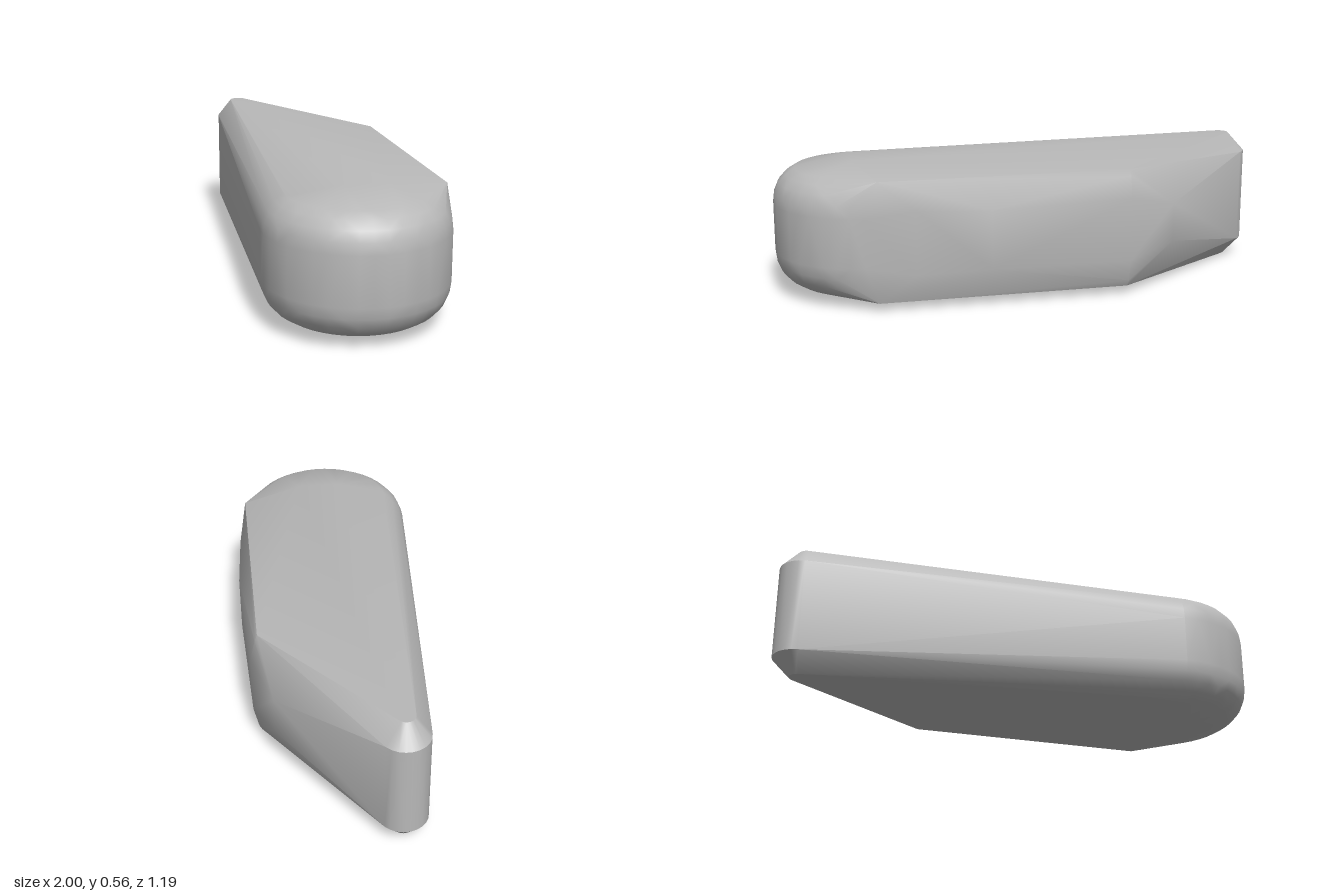
import * as THREE from 'three';
import { ConvexGeometry } from 'three/addons/geometries/ConvexGeometry.js';
import { mergeVertices, toCreasedNormals } from 'three/addons/utils/BufferGeometryUtils.js';

const MID = 0.28; // the body is mirrored above and below this height

export function createModel() {
  const group = new THREE.Group();
  group.name = 'wedgeBody';
  const grey = new THREE.MeshStandardMaterial({ color: 0xb8b8b8 });
  grey.name = 'grey';

  const points = [];
  const add = (x, z, h) => {
    for (const s of [1, -1]) points.push(new THREE.Vector3(x, MID + s * h, z));
  };
  // arc of points about (cx, cz); angles in degrees, 90 points to +z
  const arc = (cx, cz, r, h, from, to, steps) => {
    for (let i = 0; i <= steps; i++) {
      const a = THREE.MathUtils.degToRad(from + ((to - from) * i) / steps);
      add(cx + r * Math.cos(a), cz + r * Math.sin(a), h);
    }
  };

  // broad round end with a filleted rim: radius, half height
  const rim = [[0.37, 0.1], [0.364, 0.145], [0.347, 0.185], [0.318, 0.217], [0.28, 0.24]];
  for (const [r, h] of rim) arc(0.63, 0.225, r, h, -58, 120, 20);

  // narrow bevelled nose
  arc(-0.9, -0.355, 0.1, 0.2, 105, 258, 10);
  arc(-0.893, -0.348, 0.037, 0.28, 105, 258, 10);

  // flat faces and their corners
  add(0.65, 0.31, 0.28);
  add(0.73, 0.15, 0.28);
  add(0.78, -0.11, 0.245);
  add(-0.14, -0.55, 0.245);

  // bulging rear wall
  add(-0.14, -0.562, 0.22);
  add(-0.13, -0.58, 0.13);
  add(-0.35, -0.6, 0.08);
  add(0.4, -0.35, 0.12);
  add(0.66, -0.205, 0.13);

  // one smooth skin, creased only at the sharp edges
  let skin = new ConvexGeometry(points);
  skin.deleteAttribute('normal');
  skin = toCreasedNormals(mergeVertices(skin, 1e-4), 0.55);

  const body = new THREE.Mesh(skin, grey);
  body.name = 'body';
  group.add(body);
  return group;
}
